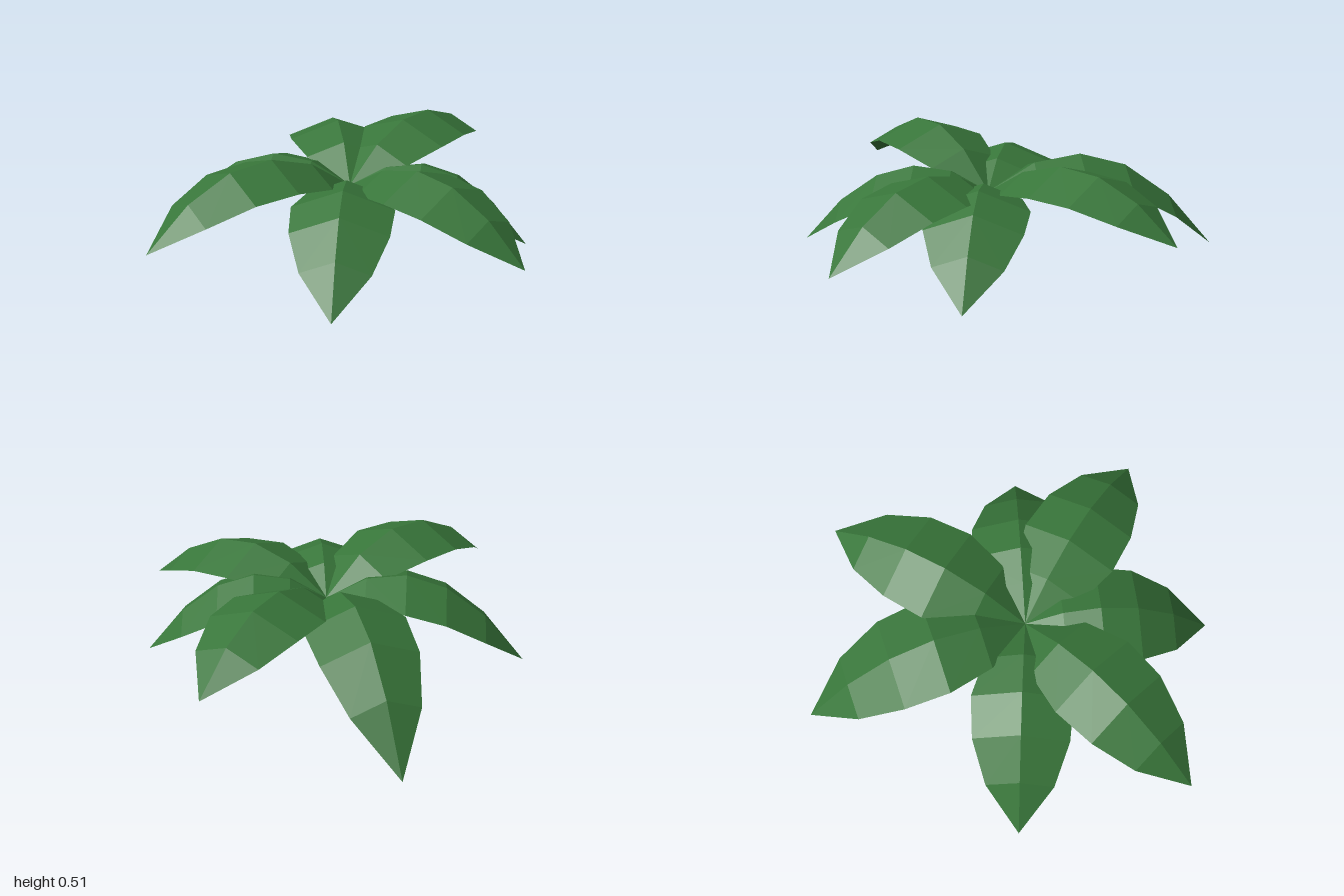
import * as THREE from 'three';

// Shared crown where every leaf starts
const CROWN = new THREE.Vector3(-0.04, 0.3, -0.02);
// Half width of a leaf at equal steps from base to tip
const HALF_WIDTHS = [0.035, 0.172, 0.226, 0.215, 0.152, 0];
// How far the edges fold down below the midrib, per unit of half width
const FOLD = 0.37;

// name, tip position, initial rise of the midrib
const LEAVES = [
  ['backLeaf', [-0.22, 0.28, -1.0], 0.86],
  ['backRightLeaf', [-0.92, 0.0, -0.59], 0.88],
  ['frontRightLeaf', [-0.76, 0.02, 0.51], 0.7],
  ['frontLeaf', [-0.16, 0.22, 1.0], 0.94],
  ['frontLeftLeaf', [0.55, 0.04, 0.59], 0.64],
  ['leftLeaf', [0.92, 0.18, -0.15], 0.79],
  ['backLeftLeaf', [0.56, 0.05, -0.56], 0.65],
];

// An arching leaf folded along its midrib, as rows of left edge, rib, right edge
function leafGeometry(tip, rise) {
  const dx = tip[0] - CROWN.x, dz = tip[2] - CROWN.z;
  const length = Math.hypot(dx, dz);
  const sideX = -dz / length, sideZ = dx / length;
  const droop = rise - (tip[1] - CROWN.y);
  const steps = HALF_WIDTHS.length - 1;

  const rows = HALF_WIDTHS.map((w, i) => {
    const t = i / steps;
    const y = CROWN.y + rise * t - droop * t * t;
    return [-1, 0, 1].map((s) => [
      CROWN.x + dx * t + sideX * w * s,
      y - Math.abs(s) * w * FOLD,
      CROWN.z + dz * t + sideZ * w * s,
    ]);
  });

  const positions = [];
  for (let i = 0; i < steps; i++) {
    for (let j = 0; j < 2; j++) {
      const a = rows[i][j], b = rows[i][j + 1];
      const c = rows[i + 1][j + 1], d = rows[i + 1][j];
      if (i === steps - 1) positions.push(...a, ...b, ...c);
      else if (j === 0) positions.push(...a, ...b, ...d, ...b, ...c, ...d);
      else positions.push(...a, ...b, ...c, ...a, ...c, ...d);
    }
  }
  // Turn each face upward
  for (let k = 0; k < positions.length; k += 9) {
    const [ax, , az, bx, , bz, cx, , cz] = positions.slice(k, k + 9);
    if ((bz - az) * (cx - ax) - (bx - ax) * (cz - az) < 0) {
      const b = positions.slice(k + 3, k + 6);
      positions.splice(k + 3, 6, ...positions.slice(k + 6, k + 9), ...b);
    }
  }
  const geometry = new THREE.BufferGeometry();
  geometry.setAttribute('position', new THREE.Float32BufferAttribute(positions, 3));
  geometry.computeVertexNormals();
  return geometry;
}

export function createModel() {
  const plant = new THREE.Group();
  plant.name = 'leafyPlant';

  const leafGreen = new THREE.MeshStandardMaterial({
    color: 0x38763a,
    flatShading: true,
    side: THREE.DoubleSide,
  });
  leafGreen.name = 'leaf green';

  for (const [name, tip, rise] of LEAVES) {
    const leaf = new THREE.Mesh(leafGeometry(tip, rise), leafGreen);
    leaf.name = name;
    plant.add(leaf);
  }
  return plant;
}
